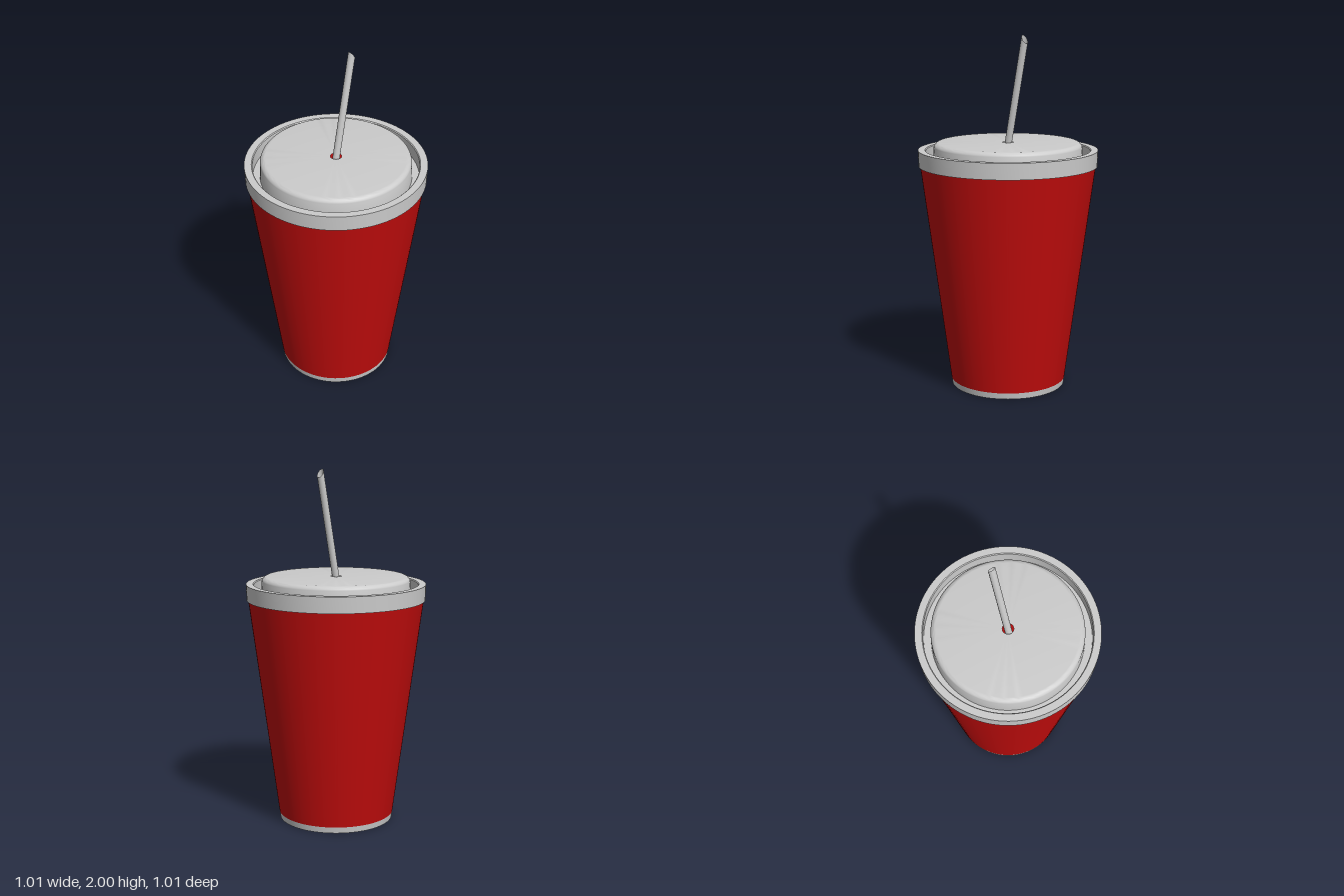
import * as THREE from 'three';
import { toCreasedNormals } from 'three/addons/utils/BufferGeometryUtils.js';

const SEGMENTS = 96;

// Turned part from [radius, height] pairs, with hard profile edges kept sharp
function turned(name, profile, color) {
  const points = profile.map(([r, y]) => new THREE.Vector2(r, y));
  const geometry = toCreasedNormals(new THREE.LatheGeometry(points, SEGMENTS), 0.6);
  const material = new THREE.MeshStandardMaterial({ color, side: THREE.DoubleSide });
  const mesh = new THREE.Mesh(geometry, material);
  mesh.name = name;
  return mesh;
}

// Quarter-round shoulder between the dome's wall and its flat top
function shoulder(radius, top, fillet, steps = 6) {
  return Array.from({ length: steps + 1 }, (_, i) => {
    const a = (i / steps) * Math.PI / 2;
    return [radius - fillet + fillet * Math.cos(a), top - fillet + fillet * Math.sin(a)];
  });
}

// Open tube leaning to +x, its top cut at a slant
function makeStraw() {
  const radius = 0.02, lean = 0.202, length = 1.9;
  const geometry = new THREE.CylinderGeometry(radius, radius, length, 24, 1, true);
  geometry.translate(0, -length / 2, 0);
  const pos = geometry.attributes.position;
  for (let i = 0; i < pos.count; i++) {
    if (pos.getY(i) > -0.01) pos.setY(i, -pos.getX(i));
  }
  const material = new THREE.MeshStandardMaterial({ color: 0xcccccc, side: THREE.DoubleSide });
  const straw = new THREE.Mesh(geometry, material);
  straw.name = 'straw';
  straw.position.set(0.121, 1.976, 0);
  straw.rotation.z = -lean;
  return straw;
}

export function createModel() {
  const group = new THREE.Group();
  group.name = 'drinkCup';

  // Flat base with a narrow band
  group.add(turned('base', [[0, 0], [0.323, 0], [0.328, 0.035]], 0xcccccc));

  // Tapered cup wall
  group.add(turned('cupWall', [[0.328, 0.035], [0.494, 1.275]], 0xc00c0c));

  // Lid: outer rim, sunken channel, raised dome and straw hole
  group.add(turned('lid', [
    [0.494, 1.27], [0.502, 1.27], [0.505, 1.36], [0.465, 1.36], [0.46, 1.355],
    [0.46, 1.28], [0.42, 1.28],
    ...shoulder(0.417, 1.4, 0.03),
    [0.031, 1.4],
  ], 0xcccccc));

  group.add(makeStraw());
  return group;
}
